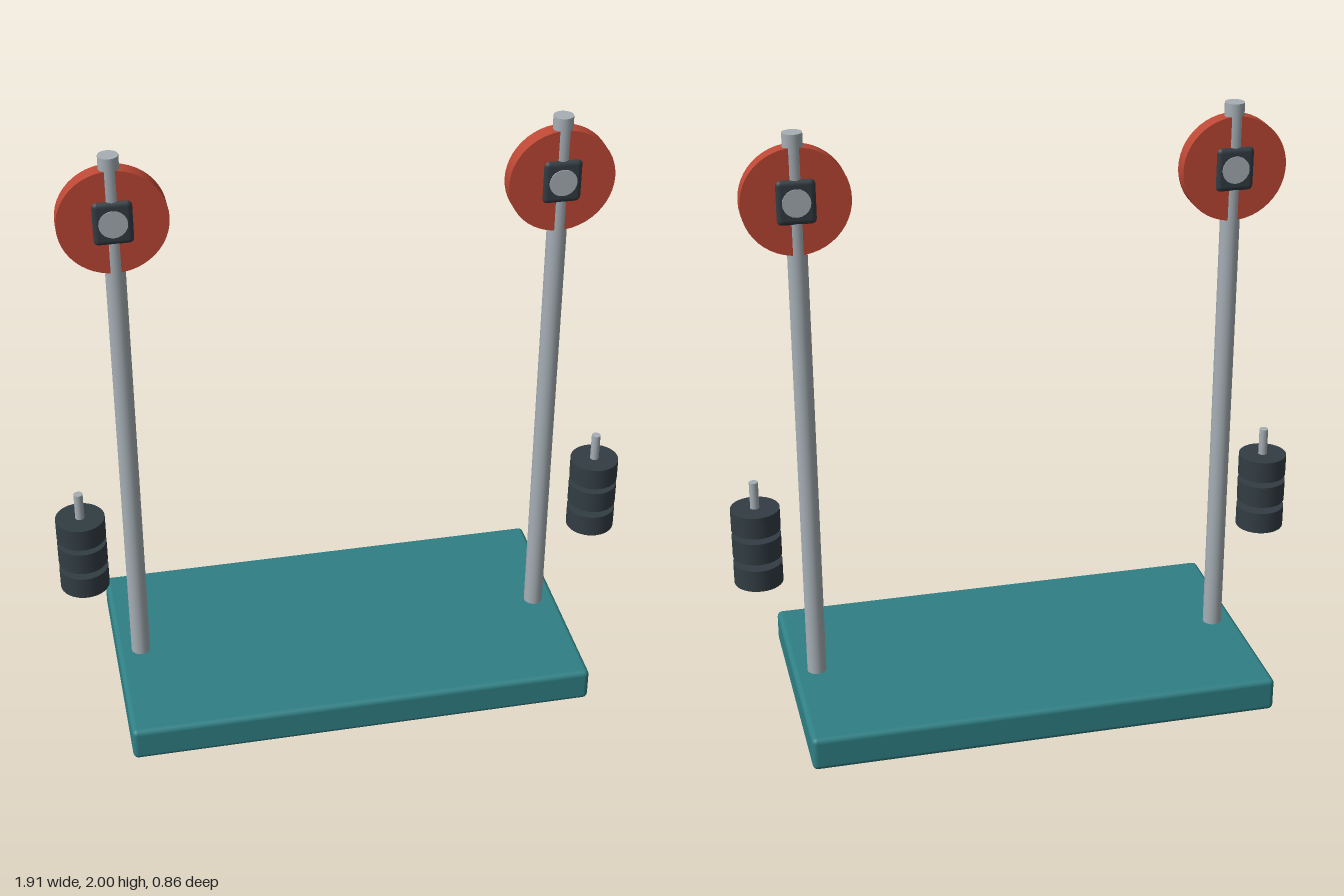
import * as THREE from 'three';
import { RoundedBoxGeometry } from 'three/addons/geometries/RoundedBoxGeometry.js';

const paint = (name, color) => {
  const m = new THREE.MeshStandardMaterial({ color });
  m.name = name;
  return m;
};

export function createModel() {
  const teal = paint('teal', 0x2f8085);
  const steel = paint('steel', 0xa6afb5);
  const red = paint('red', 0xbd4835);
  const charcoal = paint('charcoal', 0x323d43);
  const rubber = paint('rubber', 0x22282b);

  const model = new THREE.Group();
  model.name = 'pulleyStand';

  const add = (parent, name, geometry, material, x, y, z) => {
    const mesh = new THREE.Mesh(geometry, material);
    mesh.name = name;
    mesh.position.set(x, y, z);
    parent.add(mesh);
    return mesh;
  };
  const disc = (r, h, sides = 32) => new THREE.CylinderGeometry(r, r, h, sides);

  // Base slab, resting on four thin rubber feet
  add(model, 'base', new RoundedBoxGeometry(1.564, 0.117, 0.86, 3, 0.018), teal, 0, 0.0615, 0);
  for (const x of [-0.61, 0.61])
    for (const z of [-0.295, 0.295])
      add(model, 'foot', disc(0.07, 0.02, 24), rubber, x, 0.01, z);

  for (const side of [-1, 1]) {
    // Upright pole
    const x = side * 0.702;
    add(model, 'pole', disc(0.032, 1.9, 20), steel, x, 1.05, 0);

    // Pulley: wheel, square bearing block and axle
    const pulley = new THREE.Group();
    pulley.name = 'pulley';
    pulley.position.set(x, 1.787, 0);
    model.add(pulley);
    add(pulley, 'wheel', disc(0.172, 0.054, 48).rotateX(Math.PI / 2), red, 0, 0, 0);
    add(pulley, 'bearingBlock', new RoundedBoxGeometry(0.126, 0.146, 0.076, 3, 0.018), charcoal, 0, 0, 0);
    add(pulley, 'axle', disc(0.045, 0.082, 20).rotateX(Math.PI / 2), steel, 0, 0, 0);

    // Hanging weight stack with a short hook rod
    const stack = new THREE.Group();
    stack.name = 'weightStack';
    stack.position.set(side * 0.875, 0, 0.043);
    model.add(stack);
    for (const y of [0.501, 0.6, 0.695])
      add(stack, 'weight', disc(0.081, 0.075), charcoal, 0, y, 0);
    add(stack, 'hookRod', disc(0.015, 0.145, 12), steel, 0, 0.753, 0);
  }

  return model;
}
